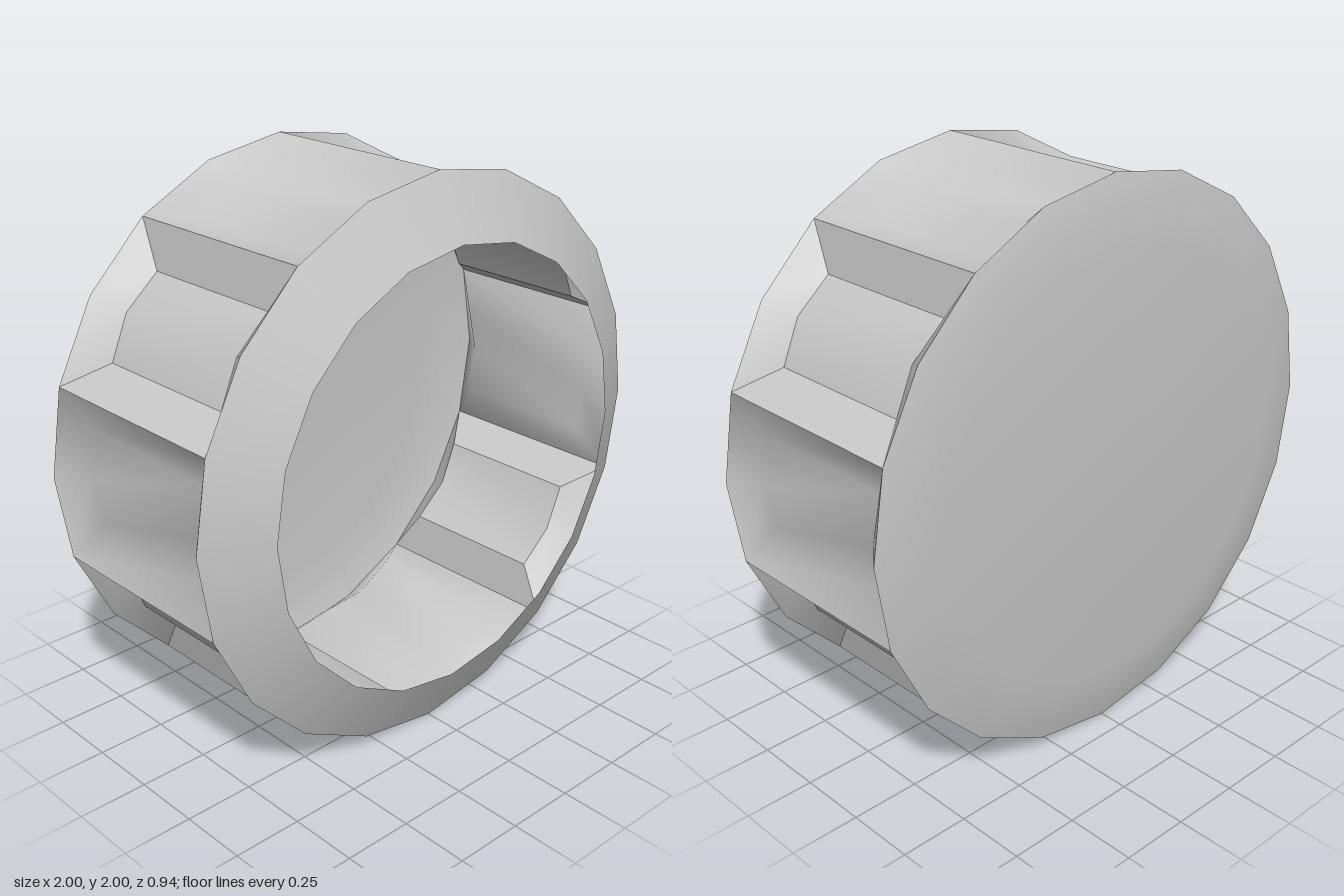
import * as THREE from 'three';
import { mergeVertices, toCreasedNormals } from 'three/addons/utils/BufferGeometryUtils.js';

const RAD = Math.PI / 180;
const FRONT = 0.36, BACK = -0.41; // ends of the drum wall
const SIDES = 20;

const polar = (r, deg, z) => [r * Math.cos(deg * RAD), r * Math.sin(deg * RAD), z];

// Shallow tapered recess, 36 degrees wide, open to the outside
function pocketGeometry(start, creased) {
  const rim = z => [0, 18, 36].map(a => polar(1, start + a, z));
  const floor = z => [[0.897, 7.4], [0.92, 18], [0.897, 28.6]].map(([r, a]) => polar(r, start + a, z));
  const rf = rim(FRONT), rb = rim(BACK), ff = floor(0.26), fb = floor(-0.305);
  const pos = [];
  const quad = (a, b, c, d) => pos.push(...a, ...b, ...c, ...a, ...c, ...d);
  for (let j = 0; j < 2; j++) {
    quad(ff[j], fb[j], fb[j + 1], ff[j + 1]); // floor
    quad(rf[j], ff[j], ff[j + 1], rf[j + 1]); // front slope
    quad(fb[j], rb[j], rb[j + 1], fb[j + 1]); // back slope
  }
  quad(rf[0], rb[0], fb[0], ff[0]); // end walls
  quad(ff[2], fb[2], rb[2], rf[2]);
  const g = new THREE.BufferGeometry();
  g.setAttribute('position', new THREE.Float32BufferAttribute(pos, 3));
  if (creased) return toCreasedNormals(g, 30 * RAD);
  const smooth = mergeVertices(g);
  smooth.computeVertexNormals();
  return smooth;
}

// Round part about the z axis from [radius, z] points
function turned(points) {
  return new THREE.LatheGeometry(points.map(p => new THREE.Vector2(...p)), SIDES).rotateX(Math.PI / 2);
}

export function createModel() {
  const model = new THREE.Group();
  model.name = 'hollowDrum';
  const grey = new THREE.MeshStandardMaterial({ color: 0xc8c8c8, side: THREE.DoubleSide });
  grey.name = 'grey';

  const add = (name, geometry) => {
    const mesh = new THREE.Mesh(geometry, grey);
    mesh.name = name;
    mesh.position.y = 1;
    model.add(mesh);
  };

  // Bevelled ring around the open front, and the closed back
  add('frontRing', turned([[1, FRONT], [0.78, 0.47]]));
  add('backCap', turned([[0, -0.466], [0.77, -0.466], [1, BACK]]));

  // Wall: ten recesses, four with crisp edges and six softly shaded
  const crisp = [18, 126, 198, 306];
  for (let start = 18; start < 378; start += 36) {
    add('wallPocket', pocketGeometry(start, crisp.includes(start)));
  }

  return model;
}
